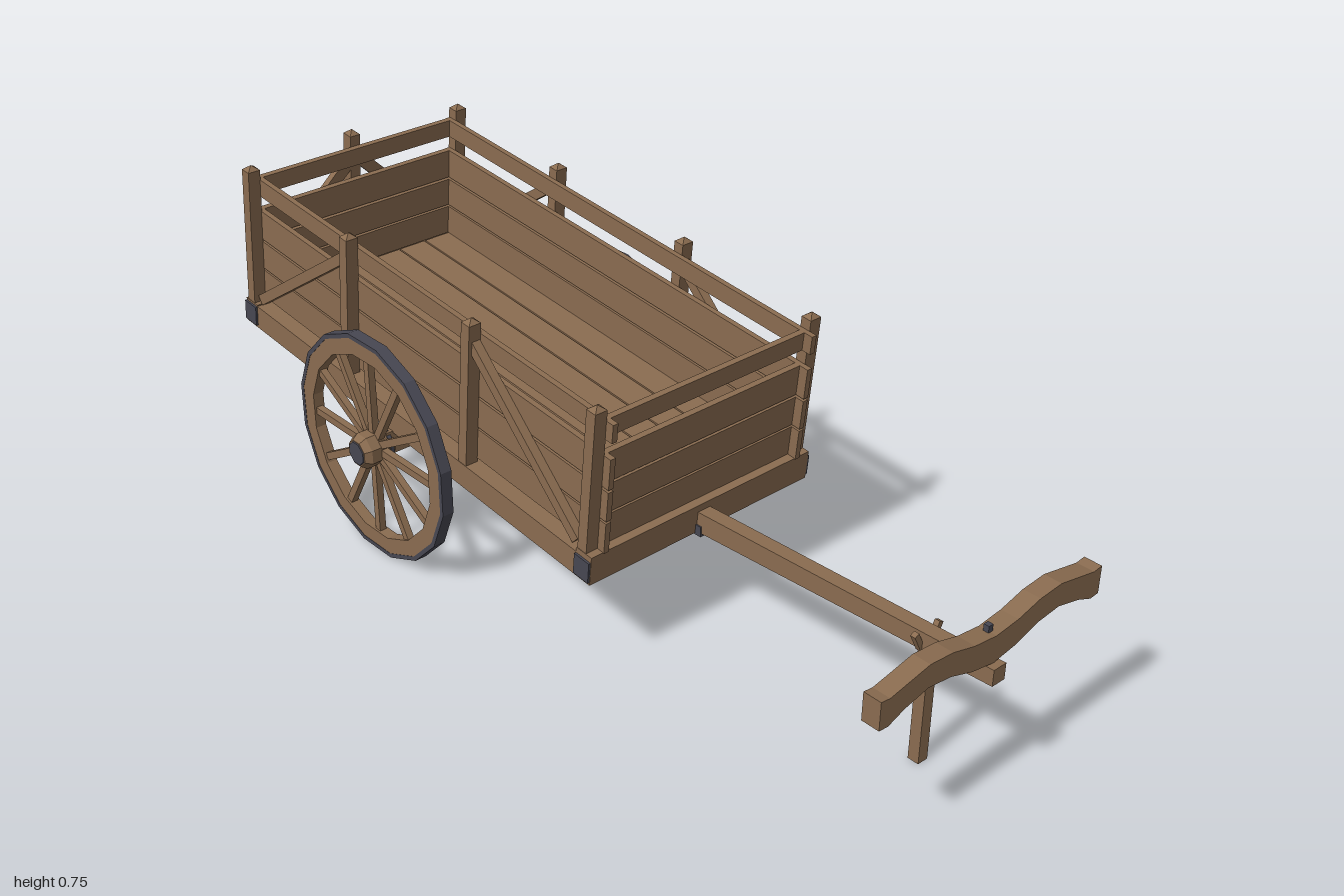
import * as THREE from 'three';

const wood = new THREE.MeshStandardMaterial({ color: 0x8a6c50 });
wood.name = 'wood';
const metal = new THREE.MeshStandardMaterial({ color: 0x474752 });
metal.name = 'metal';

function add(parent, name, geometry, material = wood) {
  const mesh = new THREE.Mesh(geometry, material);
  mesh.name = name;
  parent.add(mesh);
  return mesh;
}

// Box given by its limits on each axis
function box(parent, name, [x0, x1], [y0, y1], [z0, z1], material = wood) {
  const mesh = add(parent, name, new THREE.BoxGeometry(x1 - x0, y1 - y0, z1 - z0), material);
  mesh.position.set((x0 + x1) / 2, (y0 + y1) / 2, (z0 + z1) / 2);
  return mesh;
}

// Square bar between two points
function bar(parent, name, a, b, width, height) {
  const from = new THREE.Vector3(...a), to = new THREE.Vector3(...b);
  const mesh = new THREE.Mesh(new THREE.BoxGeometry(width, height, from.distanceTo(to)), wood);
  mesh.name = name;
  mesh.position.copy(from).lerp(to, 0.5);
  mesh.lookAt(to);
  parent.add(mesh);
}

// Upright with a low pyramid cap
function post(parent, name, x, z, y0, w = 0.03, d = 0.026) {
  const top = 0.392;
  box(parent, name, [x - w / 2, x + w / 2], [y0, top], [z - d / 2, z + d / 2]);
  const cap = new THREE.ConeGeometry(Math.SQRT1_2, 0.011, 4, 1, true).toNonIndexed();
  cap.rotateY(Math.PI / 4).scale(w, 1, d).computeVertexNormals();
  add(parent, name + 'Cap', cap).position.set(x, top + 0.0055, z);
}

function polygon(radius, sides, Type = THREE.Shape) {
  const points = [];
  for (let i = 0; i < sides; i++) {
    const a = ((i + 0.5) / sides) * Math.PI * 2;
    points.push(new THREE.Vector2(Math.cos(a) * radius, Math.sin(a) * radius));
  }
  return new Type(points);
}

function ring(outer, inner, depth) {
  const shape = polygon(outer, 16);
  shape.holes.push(polygon(inner, 16, THREE.Path));
  return new THREE.ExtrudeGeometry(shape, { depth, bevelEnabled: false })
    .translate(0, 0, -depth / 2).rotateY(Math.PI / 2);
}

// Tilted box body: origin at its lower front edge, running towards -z
function makeBody() {
  const body = new THREE.Group();
  body.name = 'body';
  body.position.set(0, 0.225, 0.24);
  body.rotation.x = 0.097;
  const rows = [[0.066, 0.138], [0.143, 0.212], [0.218, 0.289], [0.326, 0.368]];

  // Frame and floor
  box(body, 'frontBeam', [-0.303, 0.303], [0, 0.068], [-0.045, 0]);
  box(body, 'rearBeam', [-0.303, 0.303], [0, 0.06], [-1.225, -1.18]);
  for (let i = 0; i < 7; i++) {
    const x = -0.264 + i * 0.0758;
    box(body, 'floorPlank', [x, x + 0.0718], [0.05, 0.065], [-1.2, -0.03]);
  }

  for (const s of [-1, 1]) {
    const span = (a, b) => (s > 0 ? [a, b] : [-b, -a]);
    box(body, 'sideBeam', span(0.26, 0.303), [0, 0.057], [-1.18, -0.045]);
    box(body, 'cornerPlate', span(0.302, 0.308), [0.007, 0.055], [-0.045, -0.001], metal);
    box(body, 'cornerPlate', span(0.302, 0.308), [0.007, 0.055], [-1.224, -1.18], metal);

    // Side planks, uprights and braces
    for (const row of rows) box(body, 'sidePlank', span(0.26, 0.273), row, [-1.215, 0.002]);
    for (const u of [0.03, 0.41, 0.83, 1.205]) post(body, 'sidePost', s * 0.287, -u, 0.03);
    bar(body, 'sideBrace', [s * 0.284, 0.345, -0.405], [s * 0.284, 0.07, -0.06], 0.02, 0.024);
    bar(body, 'sideBrace', [s * 0.284, 0.345, -0.835], [s * 0.284, 0.07, -1.18], 0.02, 0.024);
    bar(body, 'rearBrace', [0, 0.345, -1.223], [s * 0.27, 0.08, -1.223], 0.016, 0.03);
  }

  // End planks
  for (const row of rows) {
    box(body, 'frontPlank', [-0.262, 0.262], row, [-0.034, -0.02]);
    box(body, 'rearPlank', [-0.273, 0.273], row, [-1.214, -1.2]);
  }
  post(body, 'rearCentrePost', 0, -1.231, 0.005, 0.027, 0.028);
  return body;
}

function makeWheel() {
  const wheel = new THREE.Group();
  wheel.name = 'wheel';
  add(wheel, 'rim', ring(0.254, 0.216, 0.026));
  add(wheel, 'tyre', ring(0.263, 0.253, 0.0275), metal);
  for (let i = 0; i < 12; i++) {
    const spoke = new THREE.BoxGeometry(0.016, 0.2, 0.017).translate(0, 0.125, 0);
    add(wheel, 'spoke', spoke.rotateX((i / 12) * Math.PI * 2));
  }
  // Faceted hub along x, with metal band and end
  const part = (name, x0, r0, x1, r1, material) => {
    const g = new THREE.CylinderGeometry(r1, r0, x1 - x0, 8).toNonIndexed();
    g.rotateY(Math.PI / 8).rotateZ(-Math.PI / 2).computeVertexNormals();
    add(wheel, name, g, material).position.x = (x0 + x1) / 2;
  };
  part('hubInner', -0.035, 0.03, -0.012, 0.038, wood);
  part('hubBand', -0.027, 0.038, -0.017, 0.038, metal);
  part('hub', -0.012, 0.04, 0.032, 0.041, wood);
  part('hubNose', 0.032, 0.041, 0.047, 0.031, wood);
  part('hubEnd', 0.046, 0.029, 0.049, 0.027, metal);
  return wheel;
}

// Wavy crossbar, mirrored from one half
function makeHandle() {
  const top = [[0, 0.367], [0.06, 0.374], [0.12, 0.39], [0.18, 0.395], [0.24, 0.383], [0.28, 0.375], [0.303, 0.378]];
  const bottom = [[0, 0.308], [0.06, 0.318], [0.12, 0.338], [0.18, 0.345], [0.24, 0.331], [0.28, 0.315], [0.303, 0.317]];
  const full = (half) => [...half.slice(1).reverse().map(([x, y]) => [-x, y]), ...half];
  const outline = [...full(bottom), ...full(top).reverse()];
  const shape = new THREE.Shape(outline.map(([x, y]) => new THREE.Vector2(x, y)));
  return new THREE.ExtrudeGeometry(shape, { depth: 0.04, bevelEnabled: false }).translate(0, 0, 0.945);
}

export function createModel() {
  const cart = new THREE.Group();
  cart.name = 'handCart';
  cart.add(makeBody());

  // Axle and wheels
  box(cart, 'axle', [-0.32, 0.32], [0.237, 0.292], [-0.452, -0.408]);
  for (const s of [-1, 1]) {
    const wheel = makeWheel();
    wheel.position.set(s * 0.337, 0.258, -0.43);
    if (s < 0) wheel.rotation.y = Math.PI;
    cart.add(wheel);
  }

  // Tapered draw pole
  const pole = new THREE.BoxGeometry(0.034, 1, 1);
  const p = pole.attributes.position;
  for (let i = 0; i < p.count; i++) {
    const front = p.getZ(i) > 0, upper = p.getY(i) > 0;
    p.setZ(i, front ? 1 : 0.2);
    p.setY(i, front ? (upper ? 0.308 : 0.272) : (upper ? 0.274 : 0.226));
  }
  pole.computeVertexNormals();
  add(cart, 'pole', pole);
  box(cart, 'poleBracket', [-0.02, 0.02], [0.222, 0.246], [0.236, 0.256], metal);

  // Prop leg with small braces
  box(cart, 'propLeg', [-0.013, 0.013], [0, 0.285], [0.826, 0.852]);
  for (const s of [-1, 1]) {
    bar(cart, 'legBrace', [s * 0.014, 0.262, 0.832], [s * 0.034, 0.302, 0.832], 0.012, 0.012);
  }

  // Handle and its pin
  add(cart, 'handle', makeHandle());
  box(cart, 'handlePin', [-0.006, 0.006], [0.3, 0.382], [0.959, 0.971], metal);
  return cart;
}
